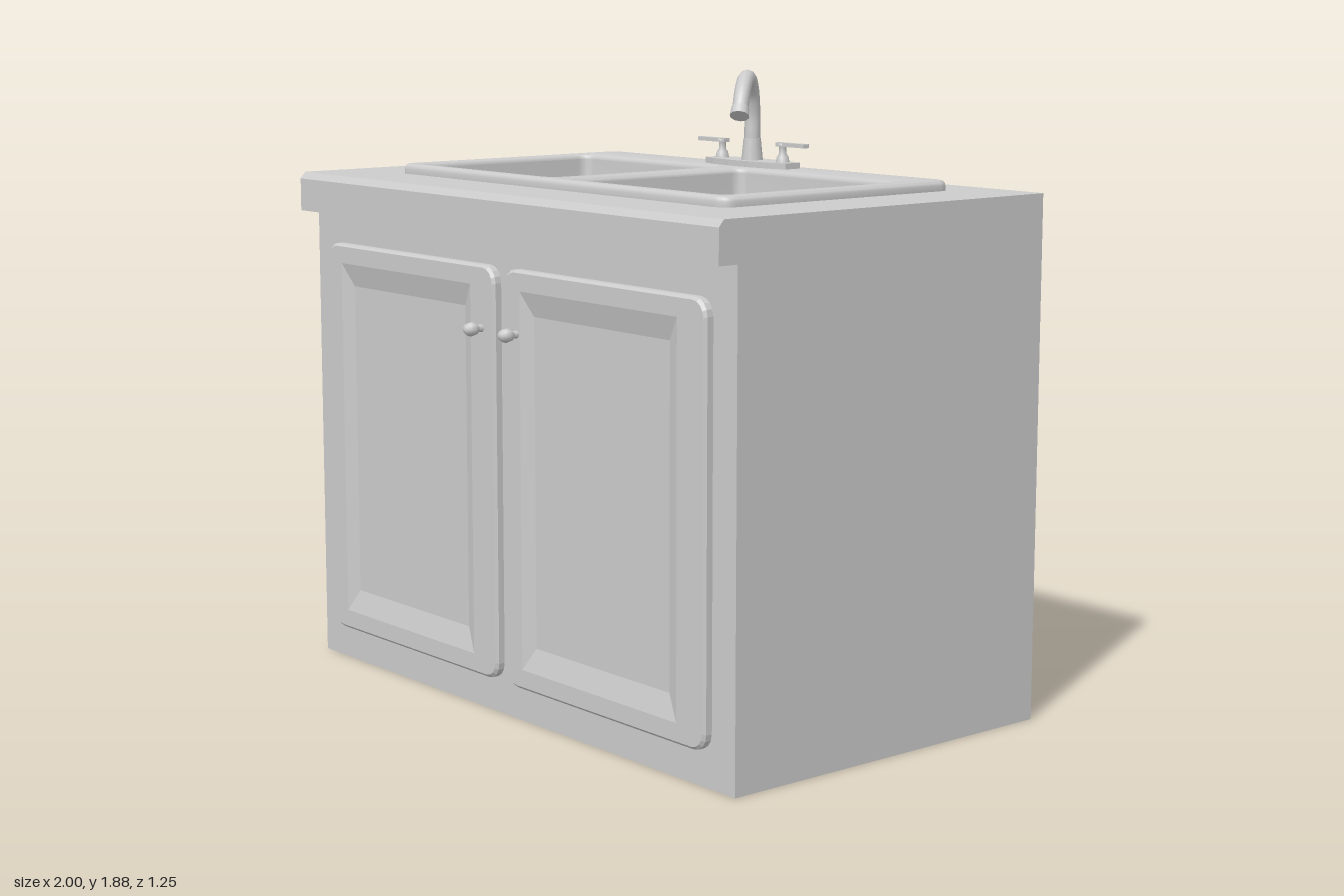
import * as THREE from 'three';
import { toCreasedNormals } from 'three/addons/utils/BufferGeometryUtils.js';

const smooth = new THREE.MeshStandardMaterial({ color: 0xcccccc });
const flat = new THREE.MeshStandardMaterial({ color: 0xcccccc, flatShading: true });

function add(parent, name, geometry, material = smooth) {
  const mesh = new THREE.Mesh(geometry, material);
  mesh.name = name;
  parent.add(mesh);
  return mesh;
}

// Counter-clockwise outline of a rounded rectangle
function roundRect(x0, x1, y0, y1, r, n = 4) {
  const pts = [];
  const corners = [[x1 - r, y1 - r], [x0 + r, y1 - r], [x0 + r, y0 + r], [x1 - r, y0 + r]];
  corners.forEach(([cx, cy], k) => {
    for (let i = 0; i <= n; i++) {
      const a = (k + i / n) * Math.PI / 2;
      pts.push(new THREE.Vector2(cx + r * Math.cos(a), cy + r * Math.sin(a)));
    }
  });
  return pts;
}

// Skin over nested rounded rectangles, outermost first, closed by a centre fan; faces +z
function nest(x0, x1, y0, y1, levels) {
  const pos = [], idx = [];
  let n = 0;
  for (const [inL, inR, inY, r, z] of levels) {
    const loop = roundRect(x0 + inL, x1 - inR, y0 + inY, y1 - inY, r);
    n = loop.length;
    loop.forEach(p => pos.push(p.x, p.y, z));
  }
  const last = (levels.length - 1) * n, centre = levels.length * n;
  pos.push((x0 + x1) / 2, (y0 + y1) / 2, levels[levels.length - 1][4]);
  for (let i = 0; i < n; i++) {
    const j = (i + 1) % n;
    for (let k = 0; k < last; k += n) idx.push(k + i, k + j, k + n + j, k + i, k + n + j, k + n + i);
    idx.push(last + i, last + j, centre);
  }
  const g = new THREE.BufferGeometry();
  g.setAttribute('position', new THREE.Float32BufferAttribute(pos, 3));
  g.setIndex(idx);
  g.computeVertexNormals();
  return g;
}

// Horizontal slab from an (x, z) outline, hanging down from the given height
function slab(outline, holes, top, depth, bevel = 0) {
  const shape = new THREE.Shape(outline);
  holes.forEach(h => shape.holes.push(new THREE.Path(h)));
  const g = new THREE.ExtrudeGeometry(shape, {
    depth: depth - bevel, bevelEnabled: bevel > 0, bevelThickness: bevel,
    bevelSize: bevel, bevelOffset: -bevel, bevelSegments: 3,
  });
  return g.rotateX(Math.PI / 2).translate(0, top - bevel, 0);
}

function createCabinet(model) {
  // Carcass, open at the top for the basins
  const box = new THREE.BoxGeometry(2, 1.43, 1.16).translate(0, 0.715, -0.04);
  const index = Array.from(box.index.array);
  index.splice(12, 6);
  box.setIndex(index);
  box.clearGroups();
  add(model, 'cabinet', box);

  // Worktop with sink cut-out
  const rect = roundRect(-1, 1, -0.62, 0.54, 0, 1);
  const corners = [rect[0], rect[2], rect[4], rect[6]];
  add(model, 'countertop', slab(corners, [roundRect(-0.75, 0.745, -0.46, 0.36, 0.03)], 1.55, 0.12));

  // Overhanging front edge with a chamfer
  const lip = new THREE.Shape([[0.54, 1.43], [0.605, 1.43], [0.605, 1.53], [0.588, 1.55], [0.54, 1.55]]
    .map(p => new THREE.Vector2(...p)));
  add(model, 'countertopEdge', new THREE.ExtrudeGeometry(lip, { depth: 2, bevelEnabled: false })
    .rotateY(-Math.PI / 2).translate(1, 0, 0));
}

function createDoor(model, name, x0, x1, knobX) {
  const door = new THREE.Group();
  door.name = name;
  model.add(door);
  // Framed door with a sunken centre panel
  add(door, 'doorPanel', nest(x0, x1, 0.105, 1.335, [
    [0, 0, 0, 0.05, 0.54],
    [0, 0, 0, 0.05, 0.56],
    [0.008, 0.008, 0.008, 0.045, 0.568],
    [0.08, 0.115, 0.06, 0.001, 0.568],
    [0.125, 0.165, 0.13, 0.001, 0.55],
  ]), flat);
  // Round knob on a short stem
  add(door, 'knobStem', new THREE.CylinderGeometry(0.01, 0.012, 0.04, 8)
    .rotateX(Math.PI / 2).translate(knobX, 1.15, 0.58));
  add(door, 'knob', new THREE.SphereGeometry(0.025, 8, 6)
    .scale(1, 1, 0.85).rotateX(Math.PI / 2).translate(knobX, 1.15, 0.605));
}

function createSink(model) {
  const sink = new THREE.Group();
  sink.name = 'sink';
  model.add(sink);
  const basins = [[-0.715, -0.05], [0.04, 0.71]];
  const z0 = -0.315, z1 = 0.335;

  // Rim, faucet deck and divider in one rounded plate
  const rim = slab(roundRect(-0.775, 0.77, -0.485, 0.385, 0.045),
    basins.map(([a, b]) => roundRect(a, b, z0, z1, 0.035)), 1.58, 0.04, 0.015);
  add(sink, 'sinkRim', toCreasedNormals(rim, 0.7));

  // Basins with curved bottoms
  for (const [a, b] of basins) {
    const wall = [[0, 0.035, 1.565], [0.012, 0.035, 1.34], [0.02, 0.04, 1.315], [0.04, 0.04, 1.303], [0.065, 0.03, 1.3]];
    const g = nest(a, b, -z1, -z0, wall.map(([d, r, y]) => [d, d, d, r, y]));
    add(sink, 'basin', g.rotateX(-Math.PI / 2)).material = smooth;
  }
}

function createFaucet(model) {
  const faucet = new THREE.Group();
  faucet.name = 'faucet';
  faucet.position.set(-0.005, 0, -0.405);
  model.add(faucet);

  // Tapered base plate
  const half = [[0.185, 0.03], [0.13, 0.045], [0.05, 0.055]];
  const front = [...half, ...half.map(([x, z]) => [-x, z]).reverse()];
  const outline = [...front, ...front.map(([x, z]) => [-x, -z])].map(p => new THREE.Vector2(...p));
  add(faucet, 'basePlate', slab(outline, [], 1.598, 0.022));

  // Swan-neck spout turned toward one basin
  const ux = 0.62, uz = 0.785;
  const path = new THREE.CatmullRomCurve3([
    [0, 1.59], [0, 1.67], [0, 1.74], [0.02, 1.805], [0.065, 1.848], [0.12, 1.85], [0.175, 1.815], [0.22, 1.75],
  ].map(([d, y]) => new THREE.Vector3(d * ux, y, d * uz)));
  add(faucet, 'spout', new THREE.TubeGeometry(path, 28, 0.025, 10));
  add(faucet, 'spoutCollar', new THREE.CylinderGeometry(0.027, 0.034, 0.07, 10).translate(0, 1.63, 0));
  const tip = add(faucet, 'spoutTip', new THREE.CylinderGeometry(0.03, 0.027, 0.03, 10));
  tip.position.copy(path.getPoint(0.985));
  tip.quaternion.setFromUnitVectors(new THREE.Vector3(0, 1, 0), path.getTangent(1));

  // Lever handles on either side
  for (const s of [-1, 1]) {
    const name = s > 0 ? 'leftHandle' : 'rightHandle';
    add(faucet, name + 'Post', new THREE.LatheGeometry(
      [[0.022, 1.595], [0.018, 1.615], [0.011, 1.625], [0.011, 1.645], [0.016, 1.655], [0, 1.658]]
        .map(p => new THREE.Vector2(...p)), 10)).position.x = s * 0.14;
    add(faucet, name + 'Lever', new THREE.BoxGeometry(0.125, 0.012, 0.022)
      .translate(s * 0.182, 1.652, 0));
  }
}

export function createModel() {
  const model = new THREE.Group();
  model.name = 'sinkCabinet';
  createCabinet(model);
  createDoor(model, 'rightDoor', -0.91, -0.03, -0.09);
  createDoor(model, 'leftDoor', 0.015, 0.905, 0.08);
  createSink(model);
  createFaucet(model);
  return model;
}
